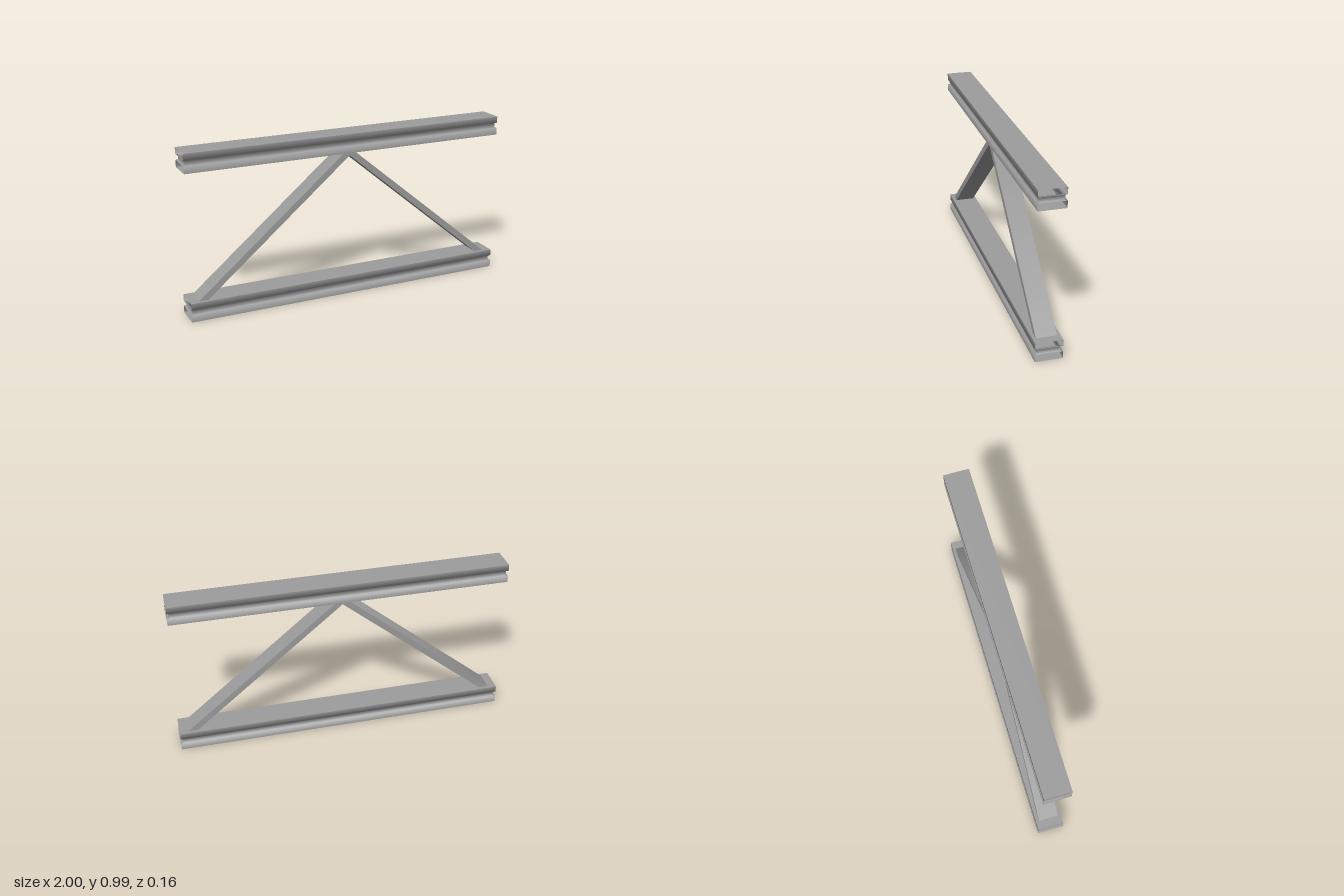
import * as THREE from 'three';

const material = new THREE.MeshStandardMaterial({ color: 0x9d9d9d, side: THREE.DoubleSide });

// Rail section
const HALF_L = 1, HALF_D = 0.078, RAIL_H = 0.114;
const GROOVE_LOW = 0.041, GROOVE_HIGH = 0.075, INSET_END = 0.012, INSET_SIDE = 0.01;
const TOP_RAIL_Y = 0.88;

const v = (x, y, z) => new THREE.Vector3(x, y, z);

// Sheet through rows of [start, end] points, its normals smoothed across the folds
function addRibbon(parent, name, rows) {
  const faceNormals = rows.slice(1).map(([next], i) => {
    const [p, q] = rows[i];
    return q.clone().sub(p).cross(next.clone().sub(p)).normalize();
  });
  const positions = [], normals = [], index = [];
  rows.forEach(([p, q], i) => {
    const n = v(0, 0, 0);
    if (i > 0) n.add(faceNormals[i - 1]);
    if (i < faceNormals.length) n.add(faceNormals[i]);
    n.normalize();
    positions.push(...p.toArray(), ...q.toArray());
    normals.push(...n.toArray(), ...n.toArray());
    if (i > 0) {
      const a = 2 * i - 2;
      index.push(a, a + 1, a + 3, a, a + 3, a + 2);
    }
  });
  const geometry = new THREE.BufferGeometry();
  geometry.setAttribute('position', new THREE.Float32BufferAttribute(positions, 3));
  geometry.setAttribute('normal', new THREE.Float32BufferAttribute(normals, 3));
  geometry.setIndex(index);
  const mesh = new THREE.Mesh(geometry, material);
  mesh.name = name;
  parent.add(mesh);
  return mesh;
}

// Hollow rail: flat plates, grooved side walls, and an end strip closing only the groove
function createRail(name, y) {
  const rail = new THREE.Group();
  rail.name = name;
  rail.position.y = y;

  const plateRow = (h, z) => [v(-HALF_L, h, z), v(HALF_L, h, z)];
  addRibbon(rail, 'topPlate', [plateRow(RAIL_H, HALF_D), plateRow(RAIL_H, -HALF_D)]);
  addRibbon(rail, 'bottomPlate', [plateRow(0, -HALF_D), plateRow(0, HALF_D)]);

  // Profile from bottom to top: [height, 1 where it is set back into the groove]
  const profile = [[0, 0], [GROOVE_LOW, 0], [GROOVE_LOW, 1], [GROOVE_HIGH, 1], [GROOVE_HIGH, 0], [RAIL_H, 0]];
  const sideRows = profile.map(([h, inset]) => {
    const x = HALF_L - inset * INSET_END, z = HALF_D - inset * INSET_SIDE;
    return [v(-x, h, z), v(x, h, z)];
  });
  const endRows = profile.slice(1, 5).map(([h, inset]) => {
    const x = HALF_L - inset * INSET_END, z = HALF_D - inset * INSET_SIDE;
    return [v(x, h, z), v(x, h, -z)];
  });
  for (const turn of [0, Math.PI]) {
    addRibbon(rail, turn ? 'backWall' : 'frontWall', sideRows).rotation.y = turn;
    addRibbon(rail, turn ? 'rightGrooveEnd' : 'leftGrooveEnd', endRows).rotation.y = turn;
  }
  return rail;
}

// Pair of diagonals as one bent, open-ended box tube
function createBrace() {
  const brace = new THREE.Group();
  brace.name = 'diagonalBrace';
  const halfW = 0.059;
  const outer = [[-0.963, 0.102], [0, 0.909], [0.963, 0.102]];
  const inner = [[-0.939, 0.074], [0, 0.861], [0.939, 0.074]];
  const edges = [[outer, halfW], [inner, halfW], [inner, -halfW], [outer, -halfW]];
  ['frontFace', 'innerFace', 'backFace', 'outerFace'].forEach((name, i) => {
    const [pathA, zA] = edges[i], [pathB, zB] = edges[(i + 1) % 4];
    addRibbon(brace, name, pathA.map((a, k) => [v(...a, zA), v(...pathB[k], zB)]));
  });
  return brace;
}

export function createModel() {
  const model = new THREE.Group();
  model.name = 'truss';
  model.add(createRail('bottomRail', 0), createRail('topRail', TOP_RAIL_Y), createBrace());
  return model;
}
